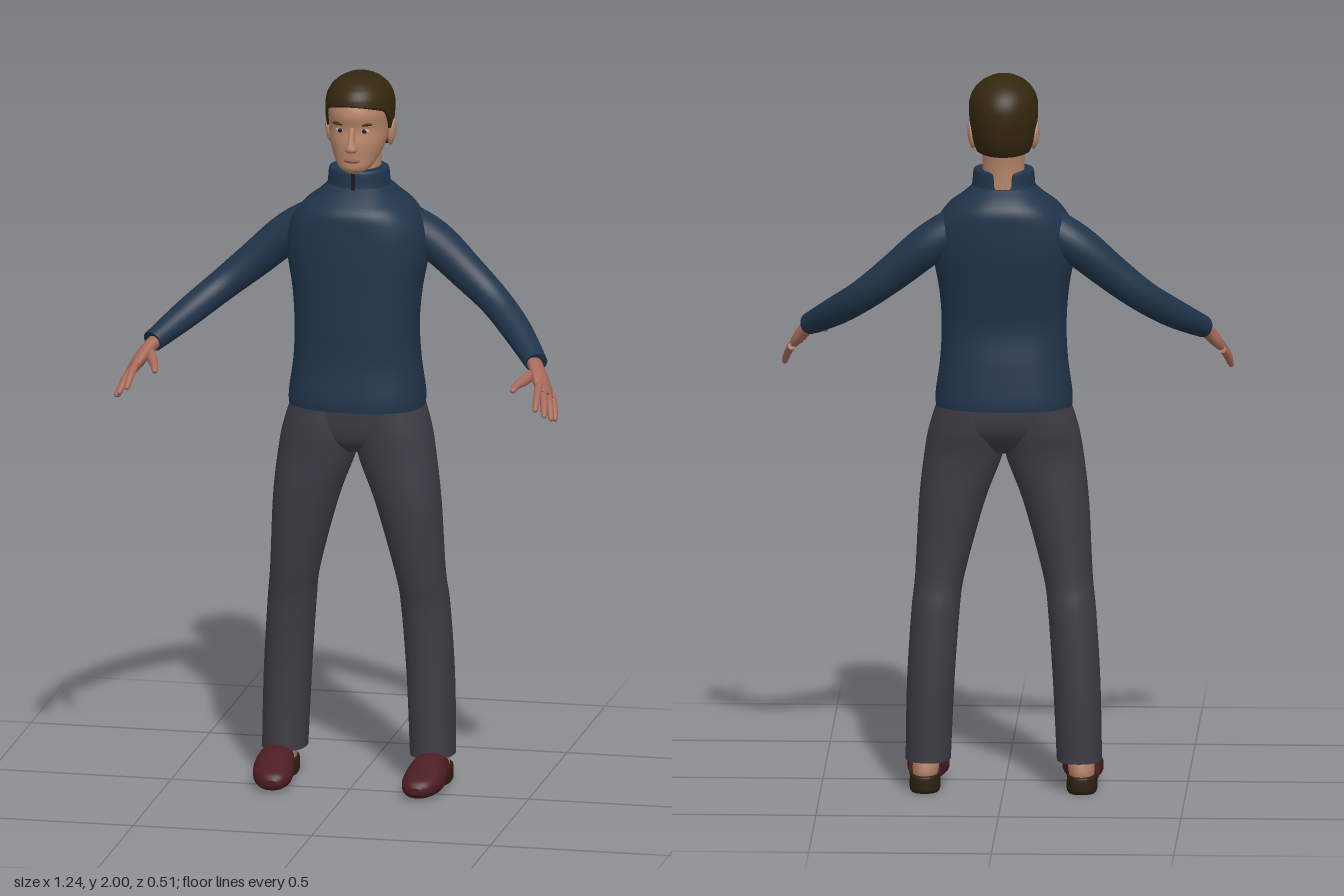
import * as THREE from 'three';

const mat = (name, color) => Object.assign(new THREE.MeshStandardMaterial({ color }), { name });
const V = (x, y, z) => new THREE.Vector3(x, y, z);
const X = V(1, 0, 0), Y = V(0, 1, 0), Z = V(0, 0, 1);

// Catmull-Rom through rows of numbers
function smooth(rows, steps) {
  const out = [], n = rows.length;
  for (let i = 0; i < n - 1; i++) {
    const [a, b, c, d] = [rows[Math.max(i - 1, 0)], rows[i], rows[i + 1], rows[Math.min(i + 2, n - 1)]];
    for (let k = 0; k < steps; k++) {
      const t = k / steps;
      out.push(b.map((q, j) => {
        const cubic = 3 * (q - c[j]) + d[j] - a[j];
        const square = 2 * a[j] - 5 * q + 4 * c[j] - d[j];
        return q + 0.5 * t * (c[j] - a[j] + t * (square + t * cubic));
      }));
    }
  }
  out.push(rows[n - 1]);
  return out;
}

// Joins a grid of rings (arrays of Vector3) into a closed smooth skin
function skin(rings, capStart = true, capEnd = true) {
  const pos = [], idx = [], n = rings[0].length;
  rings.forEach(r => r.forEach(p => pos.push(p.x, p.y, p.z)));
  for (let j = 0; j < rings.length - 1; j++) for (let i = 0; i < n; i++) {
    const k = (i + 1) % n, a = j * n + i, b = j * n + k;
    idx.push(a, a + n, b, b, a + n, b + n);
  }
  const cap = (ring, flip) => {
    const base = pos.length / 3, c = V(0, 0, 0);
    ring.forEach(p => { pos.push(p.x, p.y, p.z); c.addScaledVector(p, 1 / n); });
    pos.push(c.x, c.y, c.z);
    for (let i = 0; i < n; i++) {
      const a = base + i, b = base + (i + 1) % n;
      if (flip) idx.push(base + n, a, b);
      else idx.push(base + n, b, a);
    }
  };
  if (capStart) cap(rings[0], true);
  if (capEnd) cap(rings[rings.length - 1], false);
  const g = new THREE.BufferGeometry();
  g.setAttribute('position', new THREE.Float32BufferAttribute(pos, 3));
  g.setIndex(idx);
  g.computeVertexNormals();
  return g;
}

// Rows are [x, y, z, radiusU, radiusV]; axis fixes the section plane, otherwise it follows the path
function loft(rows, { axis = null, ref = X, power = 2, seg = 28, steps = 5 } = {}) {
  const s = smooth(rows, steps), e = 2 / power;
  const bend = v => Math.sign(v) * Math.abs(v) ** e;
  return skin(s.map((r, j) => {
    const p = s[Math.max(j - 1, 0)], q = s[Math.min(j + 1, s.length - 1)];
    const T = axis || V(q[0] - p[0], q[1] - p[1], q[2] - p[2]).normalize();
    const U = ref.clone().addScaledVector(T, -ref.dot(T)).normalize();
    const W = U.clone().cross(T);
    return Array.from({ length: seg }, (_, i) => {
      const a = i / seg * Math.PI * 2;
      return V(r[0], r[1], r[2]).addScaledVector(U, r[3] * bend(Math.cos(a))).addScaledVector(W, r[4] * bend(Math.sin(a)));
    });
  }));
}

// Linear lookup in rows keyed by their first number
function lookup(rows, v) {
  let i = 0;
  while (i < rows.length - 2 && v > rows[i + 1][0]) i++;
  const t = THREE.MathUtils.clamp((v - rows[i][0]) / (rows[i + 1][0] - rows[i][0]), 0, 1);
  return rows[i].map((q, j) => q + t * (rows[i + 1][j] - q));
}

function hairGeometry() {
  const shape = [[1.78, -0.13, 0.074, 0.094], [1.82, -0.13, 0.086, 0.116], [1.88, -0.137, 0.094, 0.121],
    [1.92, -0.136, 0.095, 0.121], [1.945, -0.134, 0.089, 0.114], [1.965, -0.132, 0.077, 0.1],
    [1.982, -0.131, 0.058, 0.076], [1.993, -0.13, 0.036, 0.048], [2, -0.13, 0.001, 0.001]];
  // hairline height from nape (-1) past the ear (0) to forehead (1)
  const line = [[-1, 1.785], [-0.3, 1.792], [-0.1, 1.86], [0.05, 1.835], [0.2, 1.86], [0.5, 1.905], [1, 1.927]];
  const rings = [], seg = 48, rows = 18;
  for (let j = -1; j <= rows; j++) rings.push(Array.from({ length: seg }, (_, i) => {
    const a = i / seg * Math.PI * 2, low = lookup(line, Math.sin(a))[1];
    const y = low + (2 - low) * Math.sin(Math.max(j, 0) / rows * Math.PI / 2);
    const [, cz, rx, rz] = lookup(shape, y), k = j < 0 ? 0.85 : 1; // first ring tucks under the edge
    return V(rx * k * Math.cos(a), y, cz + rz * k * Math.sin(a));
  }));
  return skin(rings, false, true);
}

export function createModel() {
  const model = new THREE.Group();
  model.name = 'standingMan';
  const sweater = mat('sweaterNavy', 0x20344a), trousers = mat('trouserGrey', 0x3d3b44);
  const leather = mat('shoeLeather', 0x4a1c21), sole = mat('soleBrown', 0x2c2010);
  const face = mat('faceSkin', 0xb58468), hand = mat('handSkin', 0xa86a5a);
  const hair = mat('hairBrown', 0x34270e), lip = mat('lip', 0x8c5548);
  const eyeWhite = mat('eyeWhite', 0xb5aaa0), dark = mat('darkDetail', 0x15181f);
  const add = (name, g, m) => {
    const mesh = new THREE.Mesh(g, m);
    mesh.name = name;
    model.add(mesh);
    return mesh;
  };
  const blob = (name, m, p, s, tilt = 0) => {
    const mesh = add(name, new THREE.SphereGeometry(1, 16, 12), m);
    mesh.position.set(...p);
    mesh.scale.set(...s);
    mesh.rotation.z = tilt;
  };

  // Sweater body, collar and zip
  add('sweaterBody', loft([[0, 1.075, -0.1, 0.187, 0.138], [0, 1.11, -0.1, 0.187, 0.138], [0, 1.2, -0.1, 0.175, 0.13],
    [0, 1.3, -0.095, 0.171, 0.125], [0, 1.4, -0.102, 0.178, 0.132], [0, 1.5, -0.11, 0.194, 0.14],
    [0, 1.58, -0.114, 0.186, 0.142], [0, 1.63, -0.117, 0.155, 0.139], [0, 1.662, -0.122, 0.115, 0.115],
    [0, 1.69, -0.124, 0.085, 0.082]], { axis: Y, power: 2.5, seg: 48 }), sweater);
  add('collar', loft([[0, 1.665, -0.122, 0.094, 0.088], [0, 1.69, -0.122, 0.087, 0.08], [0, 1.73, -0.122, 0.083, 0.078],
    [0, 1.737, -0.122, 0.078, 0.073]], { axis: Y, seg: 36 }), sweater);
  const zip = add('collarZip', new THREE.BoxGeometry(0.01, 0.055, 0.006), dark);
  zip.position.set(0, 1.706, -0.041);

  // Trouser seat
  add('trouserSeat', loft([[0, 0.945, -0.1, 0.07, 0.06], [0, 0.975, -0.1, 0.14, 0.09], [0, 1.02, -0.107, 0.182, 0.11],
    [0, 1.09, -0.108, 0.176, 0.115]], { axis: Y, power: 2.3, seg: 40 }), trousers);

  // Neck and head
  add('neck', loft([[0, 1.68, -0.138, 0.06, 0.066], [0, 1.75, -0.138, 0.057, 0.066],
    [0, 1.82, -0.145, 0.058, 0.07]], { axis: Y }), face);
  add('head', loft([[0, 1.735, -0.06, 0.022, 0.025], [0, 1.75, -0.066, 0.044, 0.045], [0, 1.78, -0.095, 0.064, 0.075],
    [0, 1.82, -0.117, 0.078, 0.099], [0, 1.86, -0.131, 0.083, 0.107], [0, 1.9, -0.131, 0.085, 0.113],
    [0, 1.94, -0.134, 0.079, 0.102], [0, 1.97, -0.132, 0.058, 0.078], [0, 1.988, -0.13, 0.02, 0.03]],
    { axis: Y, power: 2.1, seg: 40 }), face);
  add('nose', loft([[0, 1.798, -0.02, 0.01, 0.008], [0, 1.808, -0.014, 0.017, 0.018], [0, 1.83, -0.018, 0.01, 0.016],
    [0, 1.868, -0.028, 0.008, 0.01]], { axis: Y, seg: 16 }), face);
  blob('mouth', lip, [0, 1.774, -0.022], [0.023, 0.006, 0.006]);
  add('hair', hairGeometry(), hair);

  for (const s of [1, -1]) {
    const side = s > 0 ? 'left' : 'right';
    const flip = rows => rows.map(([x, ...r]) => [x * s, ...r]);

    // Face details
    blob(side + 'Ear', face, [0.087 * s, 1.832, -0.142], [0.011, 0.038, 0.022], -0.12 * s);
    blob(side + 'Eye', eyeWhite, [0.034 * s, 1.858, -0.034], [0.014, 0.006, 0.006]);
    blob(side + 'Iris', dark, [0.034 * s, 1.858, -0.029], [0.006, 0.006, 0.003]);
    blob(side + 'Eyebrow', hair, [0.036 * s, 1.876, -0.032], [0.021, 0.004, 0.006], 0.12 * s);

    // Sleeve
    add(side + 'Sleeve', loft(flip([[0.1, 1.59, -0.14, 0.06, 0.055], [0.2, 1.53, -0.153, 0.062, 0.056],
      [0.3, 1.445, -0.138, 0.05, 0.05], [0.385, 1.375, -0.108, 0.044, 0.044], [0.462, 1.315, -0.034, 0.042, 0.04],
      [0.537, 1.258, 0.072, 0.034, 0.03]]), { ref: Z }), sweater);

    // Hand: palm, four fingers and thumb
    const across = V(0.035 * s, -0.04, -0.04);
    add(side + 'Palm', loft(flip([[0.52, 1.27, 0.05, 0.024, 0.019], [0.545, 1.243, 0.095, 0.028, 0.019],
      [0.565, 1.215, 0.128, 0.036, 0.018], [0.581, 1.19, 0.158, 0.033, 0.012]]), { ref: across, seg: 20 }), hand);
    [[0.572, 1.168, 0.252], [0.596, 1.15, 0.243], [0.61, 1.135, 0.213], [0.613, 1.125, 0.178]].forEach((tip, i) => {
      const t = i / 3, base = [0.564 + 0.03 * t, 1.215 - 0.04 * t, 0.165 - 0.038 * t];
      const at = (k, lift, r) => [...base.map((b, j) => b + (tip[j] - b) * k + (j === 1 ? lift : 0)), r, r];
      add(side + 'Finger' + (i + 1), loft(flip([at(-0.15, 0, 0.01), at(0.45, 0.006, 0.0105), at(0.9, 0.001, 0.008),
        at(1, 0, 0.003)]), { ref: across, seg: 12, steps: 4 }), hand);
    });
    add(side + 'Thumb', loft(flip([[0.54, 1.24, 0.095, 0.012, 0.012], [0.525, 1.23, 0.14, 0.015, 0.014],
      [0.508, 1.222, 0.185, 0.011, 0.011], [0.501, 1.213, 0.212, 0.008, 0.008], [0.499, 1.21, 0.217, 0.003, 0.003]]),
      { ref: across, seg: 12, steps: 4 }), hand);

    // Trouser leg
    add(side + 'TrouserLeg', loft(flip([[0.207, 0.085, -0.12, 0.062, 0.079], [0.2, 0.3, -0.125, 0.065, 0.08],
      [0.187, 0.5, -0.119, 0.066, 0.082], [0.175, 0.6, -0.106, 0.068, 0.084], [0.143, 0.8, -0.097, 0.09, 0.098],
      [0.112, 0.93, -0.097, 0.107, 0.102], [0.1, 1.01, -0.103, 0.105, 0.11], [0.092, 1.1, -0.108, 0.085, 0.11]]),
      { axis: Y, power: 2.2, seg: 32 }), trousers);

    // Slip-on shoe with open heel
    add(side + 'ShoeUpper', loft(flip([[0.218, 0.05, -0.085, 0.044, 0.046], [0.215, 0.053, -0.04, 0.05, 0.05],
      [0.213, 0.046, 0, 0.056, 0.043], [0.208, 0.036, 0.045, 0.053, 0.033], [0.204, 0.03, 0.08, 0.036, 0.024],
      [0.202, 0.028, 0.094, 0.014, 0.01]]), { axis: Z, power: 2.4 }), leather);
    add(side + 'ShoeHeel', loft(flip([[0.215, 0, -0.138, 0.038, 0.06], [0.215, 0.01, -0.138, 0.042, 0.066],
      [0.215, 0.042, -0.138, 0.041, 0.066], [0.215, 0.048, -0.138, 0.036, 0.06]]), { axis: Y, power: 2.4 }), sole);
    add(side + 'BareHeel', loft(flip([[0.215, 0.035, -0.135, 0.032, 0.056], [0.213, 0.065, -0.135, 0.036, 0.062],
      [0.21, 0.13, -0.13, 0.034, 0.05]]), { axis: Y }), face);
  }
  return model;
}
